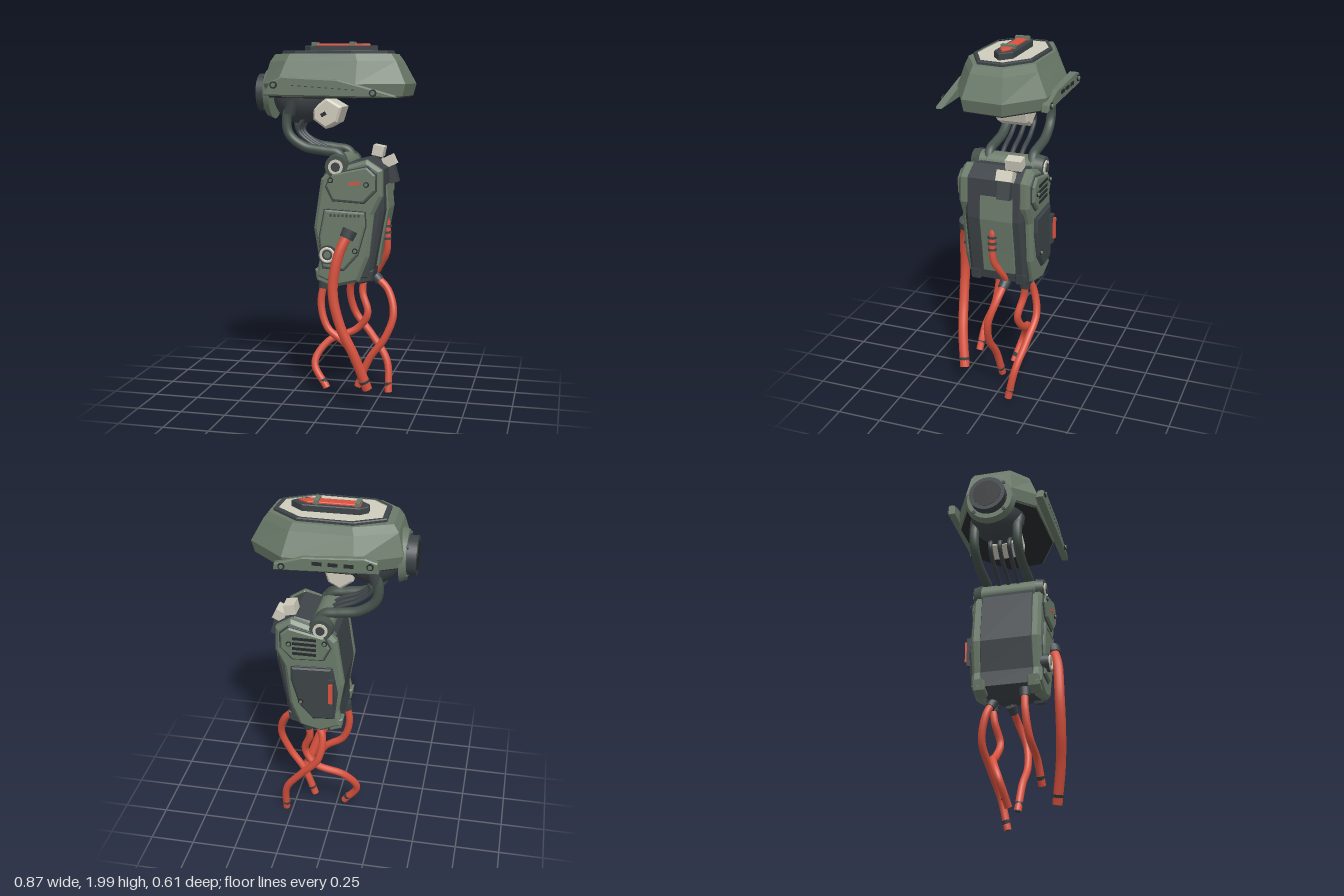
import * as THREE from 'three';

const mat = (name, color) => {
  const m = new THREE.MeshStandardMaterial({ color });
  m.name = name;
  return m;
};
const GREEN = mat('armour green', 0x6a7a69);
const DEEP = mat('deep green', 0x46524c);
const DARK = mat('dark grey', 0x3d4347);
const BLACK = mat('near black', 0x282b2d);
const CREAM = mat('cream', 0xcfccbc);
const RED = mat('red', 0xd9523e);

const V = (a) => new THREE.Vector3(...a);

export function createModel() {
  const root = new THREE.Group();
  let group = root;
  const section = (name) => {
    group = new THREE.Group();
    group.name = name;
    root.add(group);
  };
  const add = (name, geo, material, pos = [0, 0, 0], rot = [0, 0, 0]) => {
    const m = new THREE.Mesh(geo, material);
    m.name = name;
    m.position.set(...pos);
    m.rotation.set(...rot);
    group.add(m);
    return m;
  };
  const box = (name, size, material, pos, rot) => add(name, new THREE.BoxGeometry(...size), material, pos, rot);

  // Outline in x/y, extruded from z0 to z1 with chamfered edges
  const plate = (name, pts, z0, z1, material, bevel = 0.01, holes = []) => {
    const shape = new THREE.Shape(pts.map((p) => new THREE.Vector2(...p)));
    shape.holes = holes.map((h) => new THREE.Path(h.map((p) => new THREE.Vector2(...p))));
    const geo = new THREE.ExtrudeGeometry(shape, {
      depth: z1 - z0 - 2 * bevel, bevelEnabled: bevel > 0, bevelThickness: bevel,
      bevelSize: bevel, bevelOffset: -bevel, bevelSegments: 1,
    });
    return add(name, geo, material, [0, 0, z0 + bevel]);
  };

  // Outline in x/z, extruded upwards from y0 to y1
  const slab = (name, pts, y0, y1, material, bevel = 0.004, holes = []) => {
    const flip = (l) => l.map(([x, z]) => [x, -z]);
    const m = plate(name, flip(pts), 0, y1 - y0, material, bevel, holes.map(flip));
    m.geometry.translate(0, 0, bevel);
    m.position.set(0, y0, 0);
    m.rotation.x = -Math.PI / 2;
    return m;
  };

  // Faceted shell through level rings, each { y, pts: [[x, z], ...] }
  const loft = (name, rings, material) => {
    const v = [];
    const n = rings[0].pts.length;
    const at = (r, i) => [r.pts[i % n][0], r.y, r.pts[i % n][1]];
    for (let k = 0; k < rings.length - 1; k++) {
      for (let i = 0; i < n; i++) {
        const a = at(rings[k], i), b = at(rings[k], i + 1);
        const d = at(rings[k + 1], i), c = at(rings[k + 1], i + 1);
        v.push(...a, ...d, ...b, ...b, ...d, ...c);
      }
    }
    const lo = rings[0], hi = rings[rings.length - 1];
    for (let i = 0; i < n; i++) {
      v.push(0, lo.y, 0, ...at(lo, i), ...at(lo, i + 1));
      v.push(0, hi.y, 0, ...at(hi, i + 1), ...at(hi, i));
    }
    const geo = new THREE.BufferGeometry();
    geo.setAttribute('position', new THREE.Float32BufferAttribute(v, 3));
    geo.computeVertexNormals();
    return add(name, geo, material);
  };

  // Straight round rod from p to q
  const rod = (name, p, q, r0, r1, material, sides = 20) => {
    const a = V(p), b = V(q), d = b.clone().sub(a);
    const m = add(name, new THREE.CylinderGeometry(r1, r0, d.length(), sides), material);
    m.position.copy(a).add(b).multiplyScalar(0.5);
    m.quaternion.setFromUnitVectors(new THREE.Vector3(0, 1, 0), d.normalize());
    return m;
  };
  const tube = (name, pts, r, material) => {
    const curve = new THREE.CatmullRomCurve3(pts.map(V));
    add(name, new THREE.TubeGeometry(curve, 56, r, 12), material);
    return curve;
  };
  const bolt = (x, y, z, s, r = 0.012) => {
    rod('boltWasher', [x, y, z], [x, y, z + s * 0.006], r * 1.4, r * 1.4, BLACK, 12);
    rod('bolt', [x, y, z], [x, y, z + s * 0.012], r, r * 0.8, GREEN, 8);
  };
  const scale = (pts, k) => pts.map(([x, z]) => [x * k, z * k]);

  // Head shell
  section('head');
  const wide = [[-0.375, -0.15], [-0.14, -0.27], [0.23, -0.27], [0.43, -0.1], [0.405, 0.125], [0.16, 0.25], [-0.27, 0.24], [-0.38, 0.12]];
  const upper = [[-0.345, -0.13], [-0.13, -0.215], [0.2, -0.21], [0.365, -0.085], [0.35, 0.1], [0.16, 0.205], [-0.23, 0.195], [-0.345, 0.1]];
  const lid = [[-0.28, -0.1], [-0.12, -0.18], [0.17, -0.172], [0.315, -0.06], [0.3, 0.08], [0.12, 0.172], [-0.19, 0.16], [-0.28, 0.08]];
  loft('headShell', [
    { y: 1.71, pts: scale(wide, 0.96) }, { y: 1.775, pts: wide },
    { y: 1.895, pts: upper }, { y: 1.935, pts: scale(upper, 0.92) },
  ], GREEN);
  slab('headUnderside', scale(wide, 0.93), 1.7, 1.712, BLACK, 0.002);
  slab('lidRim', lid, 1.925, 1.952, DARK, 0.005, [scale(lid, 0.93)]);
  slab('lidPanel', scale(lid, 0.94), 1.925, 1.945, CREAM);
  slab('crestBase', [[-0.175, -0.03], [-0.135, -0.065], [0.165, -0.065], [0.23, -0.01], [0.165, 0.04], [-0.135, 0.04], [-0.175, 0.005]], 1.94, 1.98, DARK);
  slab('crestBar', [[-0.135, -0.04], [0.14, -0.04], [0.19, -0.012], [0.14, 0.017], [-0.135, 0.017]], 1.975, 1.99, RED);
  for (const x of [-0.12, 0.094]) box('crestClip', [0.025, 0.025, 0.077], GREEN, [x, 1.9875, -0.012]);

  // Side guards of the head
  plate('frontGuard', [[-0.34, 1.715], [0.38, 1.705], [0.375, 1.718], [0.26, 1.75], [0.07, 1.8], [-0.23, 1.815], [-0.29, 1.79]], 0.24, 0.282, GREEN, 0.008);
  plate('backGuard', [[-0.27, 1.73], [0.27, 1.71], [0.265, 1.745], [0.12, 1.79], [-0.2, 1.81], [-0.265, 1.79]], -0.29, -0.25, GREEN, 0.006);
  bolt(-0.275, 1.77, 0.282, 1, 0.014);
  bolt(0.26, 1.73, 0.282, 1, 0.014);
  bolt(-0.228, 1.77, -0.29, -1, 0.013);
  bolt(0.225, 1.735, -0.29, -1, 0.013);
  for (const x of [-0.12, -0.04, 0.042]) box('guardSlot', [0.05, 0.018, 0.008], BLACK, [x, 1.765, -0.292]);
  for (let i = 0; i < 10; i++) box('guardStud', [0.014, 0.006, 0.004], DARK, [-0.17 + i * 0.036, 1.768 - i * 0.0025, 0.283]);

  // Eye pod under the head
  section('eyePod');
  add('podBall', new THREE.SphereGeometry(0.155, 32, 20), DARK, [-0.2, 1.71, -0.01]);
  rod('podCollar', [-0.35, 1.725, -0.01], [-0.385, 1.725, -0.01], 0.145, 0.13, GREEN, 32);
  rod('eyeBarrel', [-0.38, 1.725, -0.012], [-0.435, 1.725, -0.012], 0.103, 0.103, DARK, 32);
  rod('eyeLens', [-0.43, 1.725, -0.012], [-0.437, 1.725, -0.012], 0.08, 0.08, BLACK, 32);
  for (const a of [0.8, 2.4, 3.9, 5.5]) {
    const y = 1.725 + 0.12 * Math.sin(a), z = -0.012 + 0.12 * Math.cos(a);
    rod('collarBolt', [-0.38, y, z], [-0.392, y, z], 0.011, 0.011, DARK, 8);
  }
  plate('chinBlock', [[-0.035, 1.7], [-0.11, 1.64], [-0.11, 1.58], [-0.04, 1.53], [0.025, 1.565], [0.052, 1.65]], -0.097, 0.09, CREAM, 0.012);
  box('chinSlot', [0.03, 0.02, 0.006], BLACK, [-0.05, 1.61, 0.09], [0, 0, 0.5]);

  // Neck arms and cables
  section('neck');
  for (const z of [0.115, -0.135]) {
    tube('neckArm', [[-0.21, 1.69, z], [-0.25, 1.59, z], [-0.235, 1.5, z], [-0.15, 1.435, z], [-0.04, 1.415, z], [0.04, 1.4, z], [0.08, 1.34, z]], 0.027, DEEP);
    rod('neckClamp', [-0.215, 1.68, z], [-0.235, 1.61, z], 0.036, 0.032, DARK);
  }
  for (const z of [0.055, 0, -0.055]) {
    tube('neckCable', [[-0.16, 1.6, z], [-0.2, 1.52, z], [-0.13, 1.45, z], [-0.02, 1.4, z], [0.06, 1.34, z]], 0.013, DARK);
  }
  rod('shoulderAxle', [0.045, 1.335, -0.18], [0.045, 1.335, 0.18], 0.06, 0.06, GREEN, 28);
  for (const s of [1, -1]) {
    rod('shoulderCap', [0.045, 1.335, s * 0.16], [0.045, 1.335, s * 0.205], 0.068, 0.06, DEEP, 28);
    rod('shoulderRing', [0.045, 1.335, s * 0.2], [0.045, 1.335, s * 0.212], 0.04, 0.04, CREAM, 24);
    rod('shoulderHub', [0.045, 1.335, s * 0.2], [0.045, 1.335, s * 0.218], 0.028, 0.024, DARK, 16);
  }

  // Torso core with green side shells
  section('torso');
  const body = [[-0.035, 1.29], [-0.075, 1.0], [-0.05, 0.82], [-0.06, 0.73], [0.08, 0.69], [0.23, 0.72], [0.265, 0.9], [0.3, 1.1], [0.292, 1.32], [0.2, 1.375], [0.0, 1.33]];
  plate('torsoCore', body, -0.165, 0.165, DARK, 0.02);
  const shell = [[-0.04, 1.27], [-0.08, 1.0], [-0.05, 0.82], [-0.07, 0.73], [0.05, 0.68], [0.17, 0.71], [0.225, 0.85], [0.25, 1.08], [0.298, 1.18], [0.295, 1.32], [0.21, 1.375], [0.0, 1.31]];
  plate('frontShell', shell, 0.135, 0.2, GREEN, 0.018);
  plate('backShell', shell, -0.2, -0.135, GREEN, 0.018);
  plate('sidePanel', [[0.28, 1.23], [0.298, 1.1], [0.262, 0.9], [0.245, 0.78], [0.258, 0.78], [0.276, 0.9], [0.312, 1.1], [0.3, 1.23]], -0.11, 0.075, GREEN, 0.004);
  const upperPanel = [[-0.015, 1.23], [0.025, 1.15], [0.2, 1.14], [0.27, 1.21], [0.27, 1.3], [0.22, 1.345], [0.02, 1.3]];
  const lowerPanel = [[-0.02, 1.11], [0.21, 1.1], [0.215, 1.02], [0.17, 0.86], [0.09, 0.77], [-0.03, 0.78], [-0.05, 0.95]];
  for (const s of [1, -1]) {
    const span = (a, b) => (s > 0 ? [a, b] : [-b, -a]);
    plate('panelSeam', upperPanel, ...span(0.19, 0.206), DARK, 0.002);
    plate('upperPanel', upperPanel.map(([x, y]) => [0.128 + (x - 0.128) * 0.94, 1.24 + (y - 1.24) * 0.93]), ...span(0.19, 0.22), GREEN, 0.008);
    plate('lowerSeam', lowerPanel, ...span(0.19, 0.206), DARK, 0.002);
    plate('lowerPanel', lowerPanel.map(([x, y]) => [0.085 + (x - 0.085) * 0.95, 0.95 + (y - 0.95) * 0.96]), ...span(0.19, 0.218), s > 0 ? GREEN : DARK, 0.008);
    for (const [x, y] of [[0.02, 1.265], [0.215, 1.245], [0.155, 0.885]]) bolt(x, y, s * 0.219, s, 0.011);
    plate('hipBlock', [[-0.075, 0.77], [-0.065, 0.71], [0.0, 0.685], [0.02, 0.77]], ...span(0.12, 0.19), GREEN, 0.008);
    plate('rearHip', [[0.14, 0.77], [0.16, 0.69], [0.235, 0.71], [0.245, 0.77]], ...span(0.1, 0.16), DARK, 0.008);
  }
  // Front markings and gauge
  box('indicatorBar', [0.06, 0.016, 0.006], RED, [0.15, 1.25, 0.221], [0, 0, 0.2]);
  for (let i = 0; i < 8; i++) box('panelTick', [0.01, 0.014, 0.004], DARK, [0.02 + i * 0.022, 1.075, 0.218]);
  rod('gaugeBase', [0.005, 0.86, 0.19], [0.005, 0.86, 0.235], 0.054, 0.05, DARK, 28);
  add('gaugeRing', new THREE.TorusGeometry(0.036, 0.008, 8, 28), CREAM, [0.005, 0.86, 0.235]);
  rod('gaugeDial', [0.005, 0.86, 0.23], [0.005, 0.86, 0.24], 0.022, 0.018, GREEN, 16);
  // Back vents and red handle
  for (let i = 0; i < 4; i++) box('vent', [0.13, 0.015, 0.008], BLACK, [0.13, 1.19 + i * 0.03, -0.221]);
  box('handleBase', [0.035, 0.17, 0.025], DARK, [-0.015, 0.96, -0.222]);
  box('handle', [0.022, 0.12, 0.025], RED, [-0.015, 0.965, -0.235]);

  // Cream plugs on the shoulder
  section('plugs');
  for (const [x, y, z, tilt] of [[0.225, 1.405, -0.097, -0.2], [0.29, 1.35, -0.07, 0.45]]) {
    box('plugCap', [0.062, 0.058, 0.09], CREAM, [x, y, z], [0, 0, tilt]);
    box('plugStem', [0.045, 0.1, 0.07], DARK, [x + 0.018 * Math.sign(tilt), y - 0.07, z], [0, 0, tilt * 0.6]);
  }

  // Red side hose with dark rings
  section('sideHose');
  tube('hose', [[0.29, 1.02, 0.008], [0.296, 0.93, 0.008], [0.29, 0.85, 0], [0.25, 0.77, -0.03], [0.21, 0.71, -0.05]], 0.019, RED);
  rod('hoseTip', [0.29, 1.015, 0.008], [0.285, 1.075, 0.008], 0.019, 0.008, RED);
  for (const y of [0.92, 0.955, 0.99]) rod('hoseRing', [0.294, y, 0.008], [0.293, y + 0.013, 0.008], 0.024, 0.024, DARK);

  // Hanging tentacles
  section('tentacles');
  const tentacles = [
    [0.028, [[0.13, 1.0, 0.225], [0.075, 0.87, 0.262], [0.045, 0.67, 0.275], [0.085, 0.48, 0.27], [0.155, 0.32, 0.25], [0.225, 0.12, 0.212]]],
    [0.021, [[-0.04, 0.7, 0.1], [-0.06, 0.56, 0.108], [-0.02, 0.43, 0.12], [0.09, 0.34, 0.135], [0.16, 0.21, 0.145]]],
    [0.021, [[0.21, 0.71, -0.04], [0.295, 0.63, -0.02], [0.333, 0.5, 0.02], [0.285, 0.36, 0.035], [0.2, 0.24, 0.025], [0.13, 0.07, 0.015]]],
    [0.021, [[0.14, 0.7, -0.13], [0.13, 0.59, -0.115], [0.165, 0.47, -0.09], [0.1, 0.375, -0.1], [-0.06, 0.3, -0.07], [-0.13, 0.18, -0.02], [-0.05, 0.045, 0.012]]],
    [0.021, [[0.09, 0.7, -0.11], [0.05, 0.6, -0.145], [0.075, 0.46, -0.172], [0.18, 0.33, -0.15], [0.275, 0.19, -0.115], [0.29, 0.015, -0.08]]],
  ];
  for (const [r, pts] of tentacles) {
    const curve = tube('tentacle', pts, r, RED);
    const end = curve.getPoint(1), dir = curve.getTangent(1);
    const back = end.clone().addScaledVector(dir, -0.055);
    rod('tentacleTip', back.toArray(), end.toArray(), r * 1.15, r * 0.6, DARK, 14);
    const start = curve.getPoint(0), down = start.clone().addScaledVector(curve.getTangent(0), 0.05);
    rod('tentacleSocket', start.toArray(), down.toArray(), r * 1.5, r * 1.35, DARK, 14);
  }
  return root;
}
